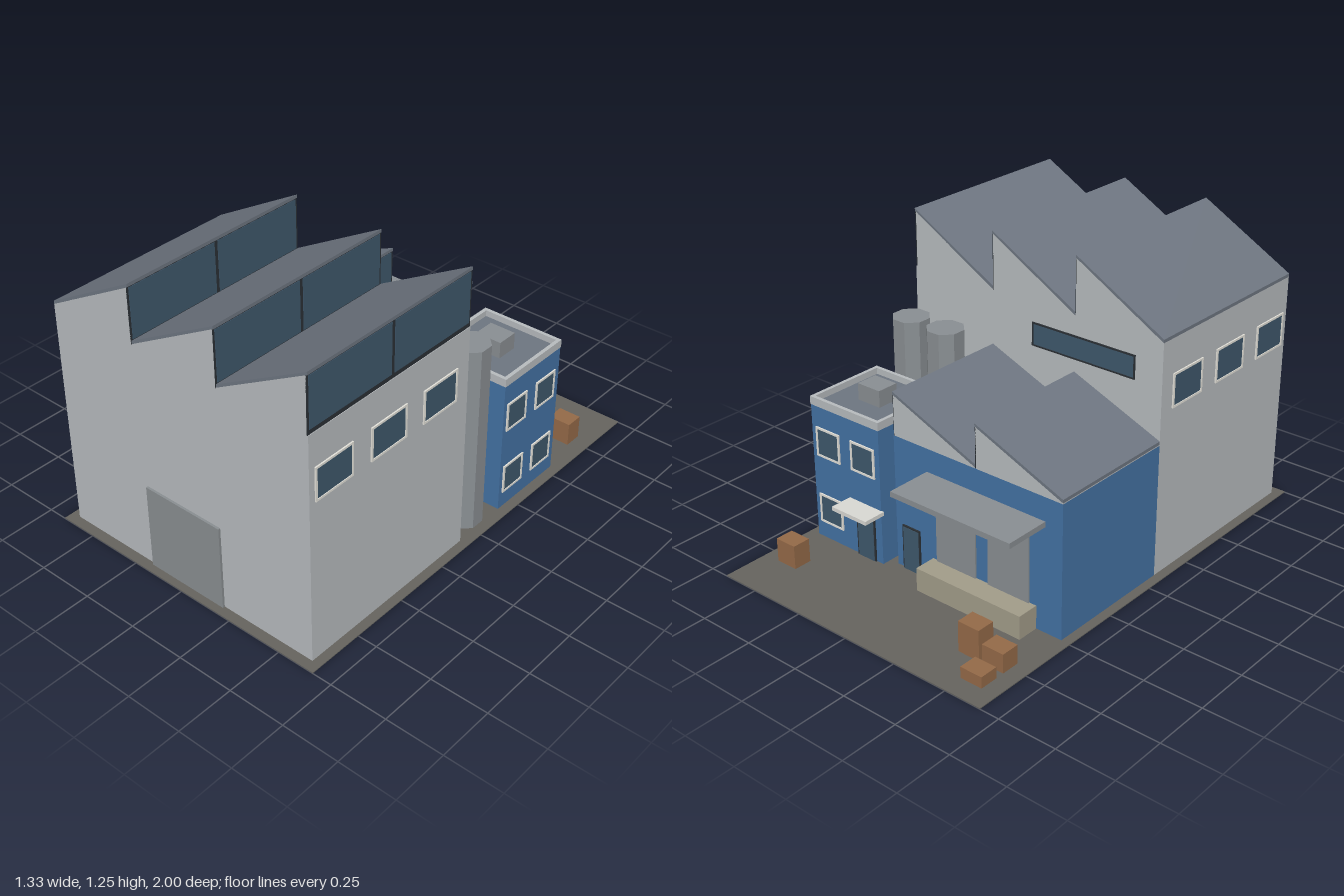
import * as THREE from 'three';

const COLORS = {
  wall: 0xb8bcbf, blue: 0x4472a4, roof: 0x6e7681, glass: 0x3f586c, frame: 0x2b3035,
  trim: 0xe4e2da, door: 0x8a8f92, steel: 0x8a8f93, ground: 0x66645f,
  dock: 0xa39d8a, crate: 0x956a48, awning: 0xdad9d4,
};
const mats = {};
for (const k in COLORS) {
  mats[k] = new THREE.MeshStandardMaterial({ color: COLORS[k], flatShading: true });
}

function add(parent, name, geo, mat) {
  const m = new THREE.Mesh(geo, mats[mat]);
  m.name = name;
  parent.add(m);
  return m;
}

// box given by its limits
function box(parent, name, mat, x0, x1, y0, y1, z0, z1) {
  const m = add(parent, name, new THREE.BoxGeometry(x1 - x0, y1 - y0, z1 - z0), mat);
  m.position.set((x0 + x1) / 2, (y0 + y1) / 2, (z0 + z1) / 2);
  return m;
}

function polygon(points) {
  return new THREE.Shape(points.map(([x, y]) => new THREE.Vector2(x, y)));
}

// extrude an x-y outline from z0 to z1
function prism(parent, name, mat, points, z0, z1) {
  const geo = new THREE.ExtrudeGeometry(polygon(points), { depth: z1 - z0, bevelEnabled: false });
  const m = add(parent, name, geo, mat);
  m.position.z = z0;
  return m;
}

function rect(w, h) {
  return [[-w / 2, -h / 2], [w / 2, -h / 2], [w / 2, h / 2], [-w / 2, h / 2]];
}

// framed window, facing +z before it is turned by angle
function windowUnit(parent, name, x, y, z, w, h, angle, frameMat = 'trim', t = 0.009) {
  const g = new THREE.Group();
  g.name = name;
  const shape = polygon(rect(w, h));
  shape.holes.push(polygon(rect(w - 2 * t, h - 2 * t)));
  add(g, 'windowFrame', new THREE.ExtrudeGeometry(shape, { depth: 0.006, bevelEnabled: false }), frameMat);
  box(g, 'windowGlass', 'glass', -w / 2 + t, w / 2 - t, -h / 2 + t, h / 2 - t, 0, 0.003);
  g.position.set(x, y, z);
  g.rotation.y = angle;
  parent.add(g);
}

// sawtooth gables, roof slabs and upright skylights facing +x
function sawtooth(parent, x0, count, eave, rise, z0, z1) {
  const w = 0.4165, t = 0.014;
  for (let i = 0; i < count; i++) {
    const a = x0 + i * w, b = a + w, top = eave + rise;
    prism(parent, 'gable', 'wall', [[a, eave], [b - 0.004, eave], [b - 0.004, top], [a, eave + 0.004]], z0, z1);
    prism(parent, 'roofSlab', 'roof',
      [[a, eave + 0.004], [b, top], [b, top + t], [a, eave + 0.004 + t]], z0, z1);
    const sky = new THREE.Group();
    sky.name = 'skylight';
    parent.add(sky);
    box(sky, 'skylightFrame', 'frame', b - 0.006, b - 0.002, eave, top, z0, z1);
    const mid = (z0 + z1) / 2;
    for (const [p, q] of [[z0 + 0.008, mid - 0.008], [mid + 0.008, z1 - 0.008]]) {
      box(sky, 'skylightPane', 'glass', b - 0.004, b, eave + 0.02, top - 0.004, p, q);
    }
  }
}

export function createModel() {
  const model = new THREE.Group();
  model.name = 'factory';
  const base = 0.002;
  const group = (name) => {
    const g = new THREE.Group();
    g.name = name;
    model.add(g);
    return g;
  };

  box(model, 'yard', 'ground', -0.665, 0.665, 0, 0.004, -1, 1);

  // tall main hall
  const hall = group('mainHall');
  box(hall, 'hallWalls', 'wall', -0.625, 0.625, base, 1.0, 0.085, 0.957);
  sawtooth(hall, -0.625, 3, 1.0, 0.236, 0.085, 0.957);
  box(hall, 'frontGate', 'door', -0.19, 0.187, base, 0.38, 0.95, 0.967);
  for (const side of [-1, 1]) {
    for (const z of [0.832, 0.542, 0.252]) {
      windowUnit(hall, 'hallWindow', side * 0.625, 0.785, z, 0.195, 0.145, side * Math.PI / 2);
    }
  }
  windowUnit(hall, 'backStripWindow', -0.25, 0.87, 0.085, 0.5, 0.1, Math.PI, 'frame', 0.006);

  // low rear hall
  const rear = group('rearHall');
  box(rear, 'rearWalls', 'blue', -0.625, 0.208, base, 0.58, -0.5, 0.085);
  sawtooth(rear, -0.625, 2, 0.58, 0.172, -0.5, 0.085);
  box(rear, 'sideDoor', 'frame', 0.08, 0.172, base, 0.2, -0.507, -0.49);
  box(rear, 'sideDoorLeaf', 'glass', 0.086, 0.166, base, 0.194, -0.509, -0.49);
  for (const x of [-0.11, -0.372]) {
    box(rear, 'loadingDoor', 'door', x - 0.1, x + 0.1, 0.1, 0.4, -0.507, -0.49);
  }
  box(rear, 'loadingDock', 'dock', -0.505, 0.015, base, 0.105, -0.597, -0.5);
  box(rear, 'loadingCanopy', 'steel', -0.545, 0.037, 0.457, 0.48, -0.7, -0.5);

  // office block with parapet
  const office = group('office');
  const [ox0, ox1, oz0, oz1] = [0.25, 0.621, -0.543, -0.171];
  box(office, 'officeWalls', 'blue', ox0, ox1, base, 0.602, oz0, oz1);
  box(office, 'officeRoof', 'roof', ox0 + 0.01, ox1 - 0.01, 0.6, 0.608, oz0 + 0.01, oz1 - 0.01);
  const ring = polygon(rect(0.375, 0.375));
  ring.holes.push(polygon(rect(0.343, 0.343)));
  const parapet = add(office, 'parapet',
    new THREE.ExtrudeGeometry(ring, { depth: 0.035, bevelEnabled: false }), 'wall');
  parapet.rotation.x = -Math.PI / 2;
  parapet.position.set((ox0 + ox1) / 2, 0.6, (oz0 + oz1) / 2);
  box(office, 'roofUnit', 'steel', 0.375, 0.492, 0.606, 0.68, -0.405, -0.308);
  for (const y of [0.142, 0.445]) {
    for (const z of [-0.255, -0.448]) {
      windowUnit(office, 'officeSideWindow', ox1, y, z, 0.13, 0.13, Math.PI / 2);
    }
    windowUnit(office, 'officeBackWindow', 0.532, y, oz0, 0.13, 0.13, Math.PI);
  }
  windowUnit(office, 'officeBackWindow', 0.34, 0.445, oz0, 0.13, 0.13, Math.PI);
  box(office, 'officeDoor', 'frame', 0.285, 0.385, base, 0.205, -0.549, -0.53);
  box(office, 'officeDoorLeaf', 'glass', 0.292, 0.378, base, 0.198, -0.551, -0.53);
  box(office, 'officeAwning', 'awning', 0.238, 0.424, 0.23, 0.247, -0.643, -0.54);

  // eight-sided silos
  for (const x of [0.353, 0.542]) {
    const silo = add(model, 'silo', new THREE.CylinderGeometry(0.081, 0.081, 0.836, 8), 'steel');
    silo.position.set(x, 0.42, -0.04);
    silo.rotation.y = Math.PI / 8;
  }

  // crates: x, z, height
  for (const [x, z, h] of [[-0.545, -0.872, 0.052], [-0.545, -0.755, 0.085], [-0.43, -0.755, 0.135], [0.541, -0.755, 0.107]]) {
    box(model, 'crate', 'crate', x - 0.05, x + 0.05, base, h, z - 0.04, z + 0.04);
  }
  return model;
}
